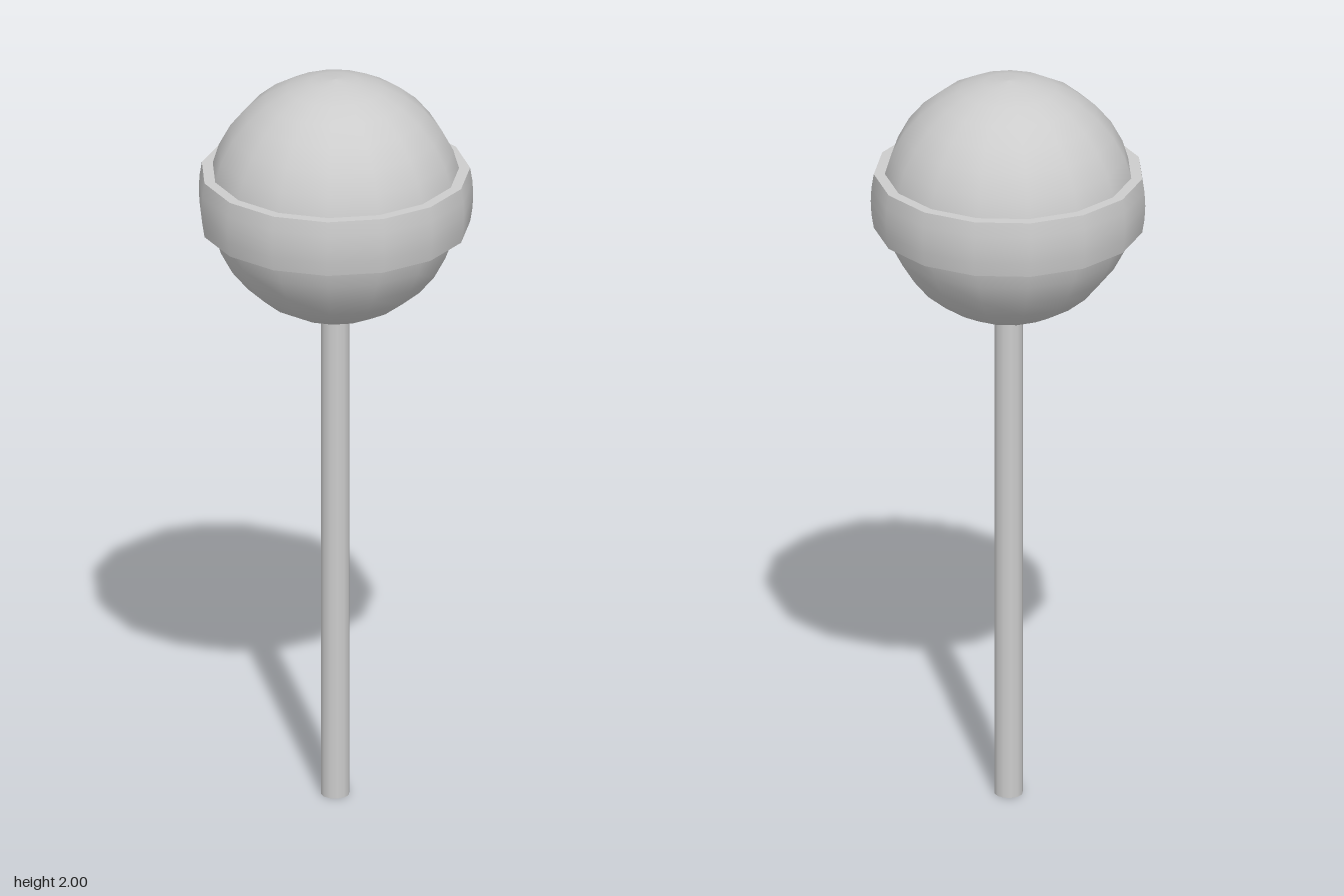
import * as THREE from 'three';

const SIDES = 15;
const TURN = 0.057; // small twist shared by the candy and its band
const CENTRE = 1.67;

function lathe(name, points, material, sides = SIDES) {
  const profile = points.map(([r, y]) => new THREE.Vector2(r, y));
  const mesh = new THREE.Mesh(new THREE.LatheGeometry(profile, sides, TURN), material);
  mesh.name = name;
  return mesh;
}

// Points on a circular arc, from the lower to the upper angle
function arc(radius, from, to, steps) {
  return Array.from({ length: steps + 1 }, (_, i) => {
    const a = from + (to - from) * i / steps;
    return [Math.max(0, radius * Math.cos(a)), radius * Math.sin(a)];
  });
}

export function createModel() {
  const group = new THREE.Group();
  group.name = 'lollipop';
  const grey = new THREE.MeshStandardMaterial({ color: 0xcccccc, side: THREE.DoubleSide });
  grey.name = 'grey';

  // Round candy
  const candy = lathe('candy', arc(0.33, -Math.PI / 2, Math.PI / 2, 16), grey);
  candy.position.y = CENTRE;

  // Bulging band; doubled corner points keep its rims sharp
  const bulge = arc(0.357, -0.212, 0.212, 4);
  const low = bulge[0], high = bulge[bulge.length - 1];
  const band = lathe('band', [[0.3, low[1]], low, ...bulge, high, [0.3, high[1]]], grey);
  band.position.y = CENTRE;

  // Hollow stick, open at the bottom
  const stick = lathe('stick', [[0.037, 0], [0.037, 1.37]], grey, 12);

  group.add(candy, band, stick);
  return group;
}
